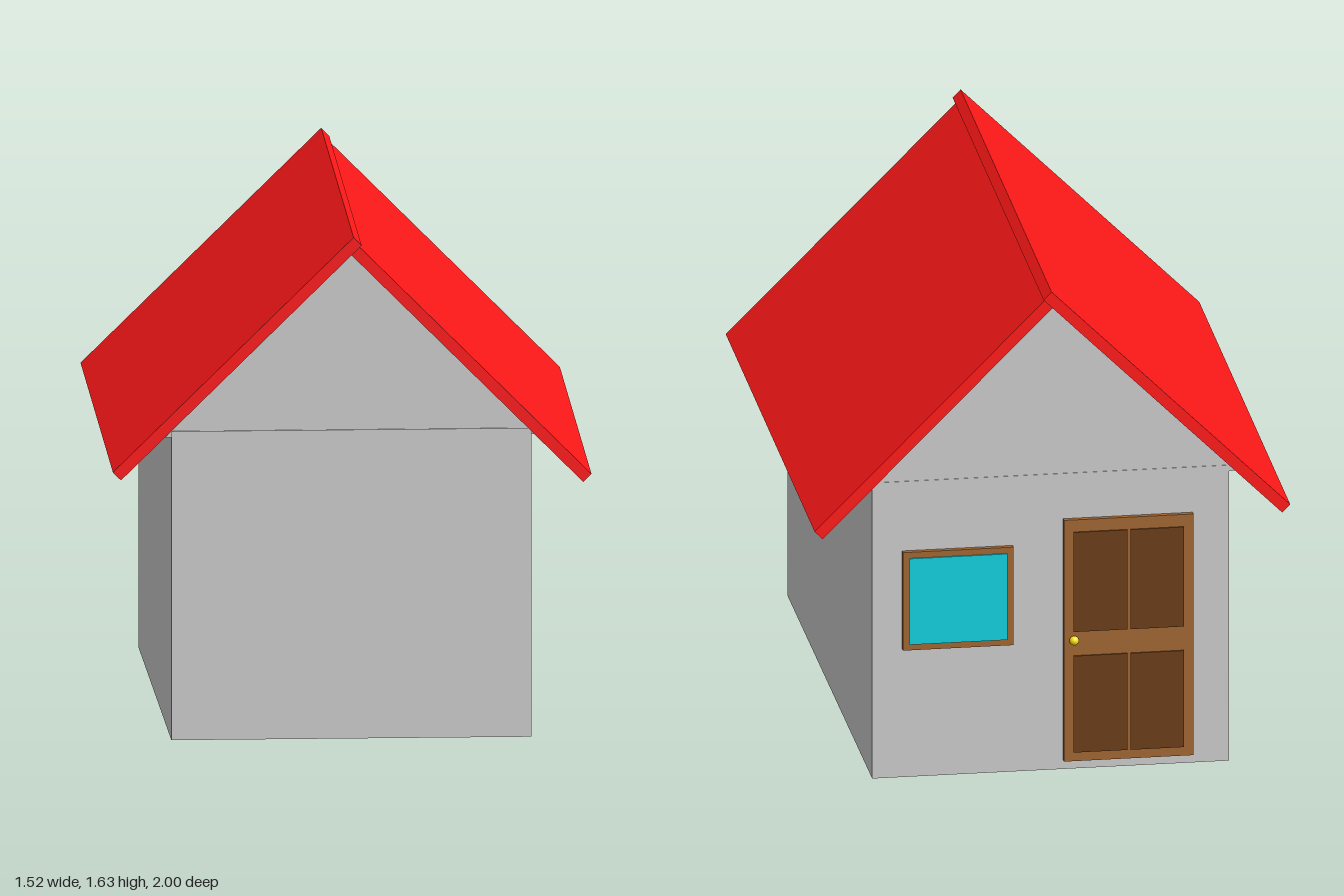
import * as THREE from 'three';

const material = (color) => new THREE.MeshStandardMaterial({ color });

export function createModel() {
  const house = new THREE.Group();
  house.name = 'house';

  const grey = material(0xcccccc);
  const red = material(0xff1818);
  const wood = material(0xa06532);
  const darkWood = material(0x6b3d17);
  const glass = material(0x11d0e0);
  const brass = material(0xffe010);

  const add = (name, geometry, mat, parent = house) => {
    const mesh = new THREE.Mesh(geometry, mat);
    mesh.name = name;
    parent.add(mesh);
    return mesh;
  };

  // Box given by its limits on each axis
  const block = (name, mat, [x0, x1], [y0, y1], [z0, z1], parent) => {
    const mesh = add(name, new THREE.BoxGeometry(x1 - x0, y1 - y0, z1 - z0), mat, parent);
    mesh.position.set((x0 + x1) / 2, (y0 + y1) / 2, (z0 + z1) / 2);
    return mesh;
  };

  // Walls
  block('walls', grey, [-0.57, 0.56], [0, 0.98], [-0.87, 0.88]);

  // Gable prism, a touch wider than the walls
  const triangle = new THREE.Shape([
    new THREE.Vector2(-0.59, 0.96),
    new THREE.Vector2(0.575, 0.96),
    new THREE.Vector2(-0.005, 1.542),
  ]);
  const gable = add('gable', new THREE.ExtrudeGeometry(triangle, { depth: 1.743, bevelEnabled: false }), grey);
  gable.position.z = -0.868;

  // Roof slabs: hung from the middle of the top face, each slightly askew
  const roofSlab = (name, length, depth, x, y, z, tilt) => {
    const geometry = new THREE.BoxGeometry(length, 0.036, depth);
    geometry.translate(0, -0.018, 0);
    const slab = add(name, geometry, red);
    slab.position.set(x, y, z);
    slab.rotation.set(...tilt, 'ZYX');
  };
  roofSlab('rightRoofSlab', 1.057, 1.985, -0.375, 1.2475, 0, [0, -0.0106, 0.776]);
  roofSlab('leftRoofSlab', 1.036, 1.937, 0.3835, 1.221, 0.002, [0.0106, 0, -Math.PI / 4]);

  // Door on the back wall, with four raised panels and a knob
  const door = new THREE.Group();
  door.name = 'door';
  house.add(door);
  block('doorFrame', wood, [-0.455, -0.045], [0.03, 0.83], [-0.887, -0.86], door);
  for (const x of [[-0.425, -0.255], [-0.245, -0.075]]) {
    for (const y of [[0.06, 0.38], [0.46, 0.79]]) {
      block('doorPanel', darkWood, x, y, [-0.892, -0.88], door);
    }
  }
  const knob = add('doorKnob', new THREE.SphereGeometry(0.015, 20, 14), brass, door);
  knob.position.set(-0.075, 0.435, -0.902);

  // Window beside the door
  const window = new THREE.Group();
  window.name = 'window';
  house.add(window);
  block('windowFrame', wood, [0.115, 0.465], [0.425, 0.75], [-0.887, -0.86], window);
  block('windowPane', glass, [0.135, 0.445], [0.445, 0.73], [-0.892, -0.88], window);

  return house;
}
